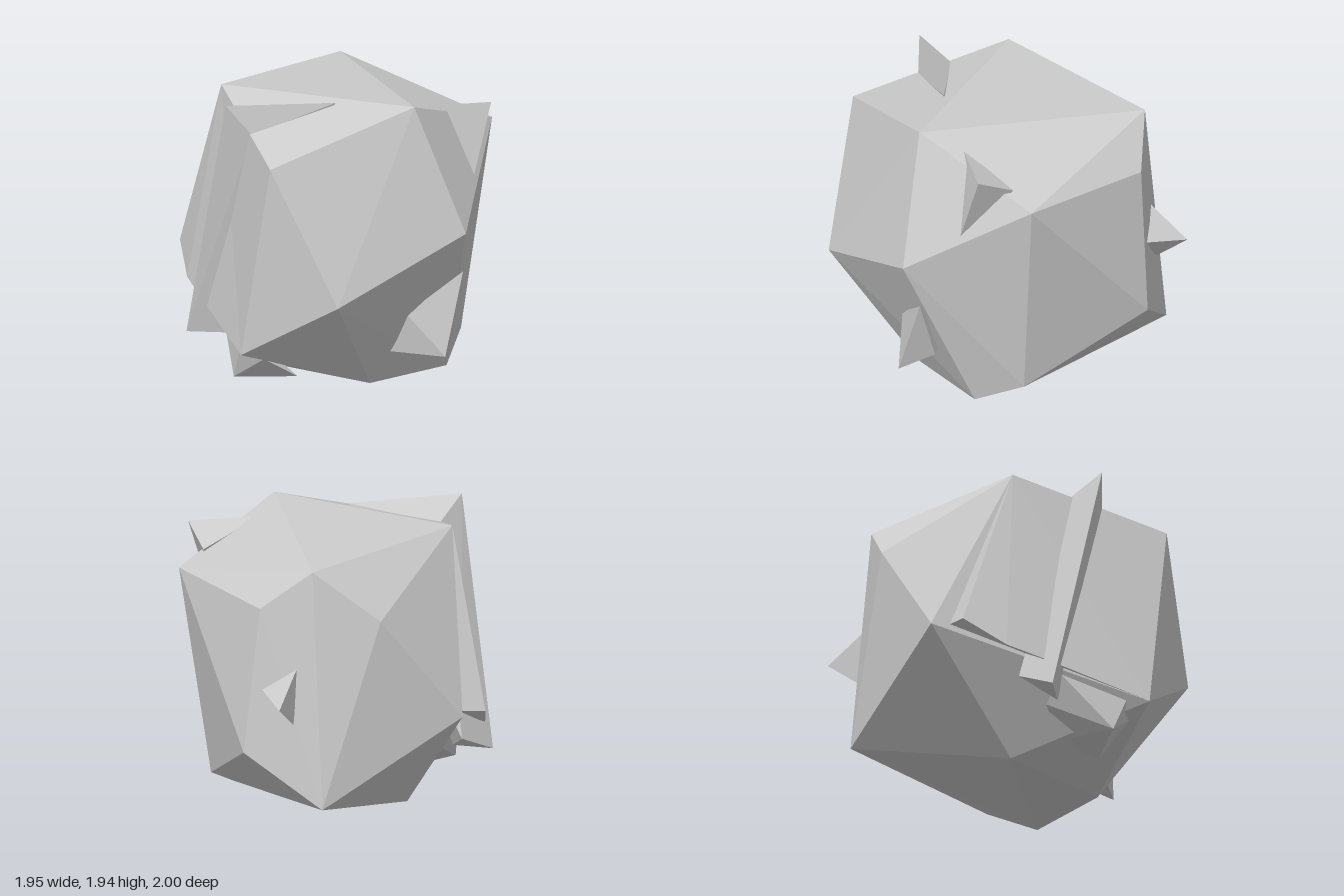
import * as THREE from 'three';
import { ConvexGeometry } from 'three/addons/geometries/ConvexGeometry.js';

const stone = new THREE.MeshStandardMaterial({ color: 0xcccccc, flatShading: true });

// One faceted chunk of stone: the convex hull of a few corner points
function chunk(name, corners) {
  const points = corners.map((c) => new THREE.Vector3(...c));
  const mesh = new THREE.Mesh(new ConvexGeometry(points), stone);
  mesh.name = name;
  return mesh;
}

export function createModel() {
  const rock = new THREE.Group();
  rock.name = 'rock';

  // Corners shared by the core and the front slab
  const topFront = [-0.46, 1.91, 0.58];
  const chin = [0.34, 0.33, 1.0];

  rock.add(
    // Main boulder
    chunk('boulderCore', [
      topFront, chin,
      [0.7, 1.91, -0.14], [0.54, 1.63, 0.91], [-0.76, 1.85, -0.6], [0.38, 1.61, -1.0],
      [0.97, 1.07, -0.36], [0.91, 0.72, 0.63],
      [-0.96, 1.51, -0.2], [-0.98, 0.77, 0.39], [-0.92, 0.26, -0.61],
      [-0.55, 1.58, -0.88], [-0.53, 0.6, -0.99], [0.31, 0.19, -0.8],
      [-0.3, 0, 0.33], [0.55, 0.03, 0.11], [0.52, 0.03, -0.53],
    ]),
    // Slab on the front face, overhanging the underside
    chunk('frontSlab', [
      topFront, chin,
      [-0.88, 0.75, 0.61], [-0.62, 0.58, 0.74], [-0.34, 0.51, 0.82],
      [-0.87, 0.77, 0.45], [-0.5, 0.8, 0.4], [0, 0.8, 0.6],
    ]),
    // Long fin running down the front
    chunk('frontFin', [
      [0.03, 1.94, 0.9], [-0.38, 0.3, 0.92],
      [0.29, 1.9, 0.2], [-0.08, 1.8, 0.68], [0.13, 1.74, 0.76],
      [-0.46, 0.43, 0.65], [-0.2, 0.3, 0.72], [-0.24, 0.53, 0.78],
    ]),
    // Jutting splinter under the chin
    chunk('chinSplinter', [
      [0.12, 0.11, 0.9],
      [-0.22, 0.3, 0.62], [-0.2, 0.47, 0.76], [0.21, 0.33, 0.92],
      [0.32, 0.26, 0.8], [0.28, 0.08, 0.5], [-0.03, 0.14, 0.5],
    ]),
    // Splinter low on the +x side
    chunk('sideSplinter', [
      [0.92, 0.24, -0.23],
      [0.64, 0.26, 0.04], [0.76, 0.53, -0.03], [0.87, 0.78, -0.41],
      [0.72, 0.35, -0.36], [0.5, 0.4, -0.2],
    ]),
    // Splinter at the top back edge
    chunk('topSplinter', [
      [0.66, 1.82, -0.79],
      [0.5, 1.83, -0.35], [0.4, 1.7, -0.81], [0.7, 1.28, -0.6],
    ]),
    // Small splinter on the back corner
    chunk('backSplinter', [
      [-0.89, 0.98, -0.91],
      [-0.53, 1.05, -0.88], [-0.72, 1.22, -0.68], [-0.76, 0.82, -0.74],
    ]),
  );
  return rock;
}
